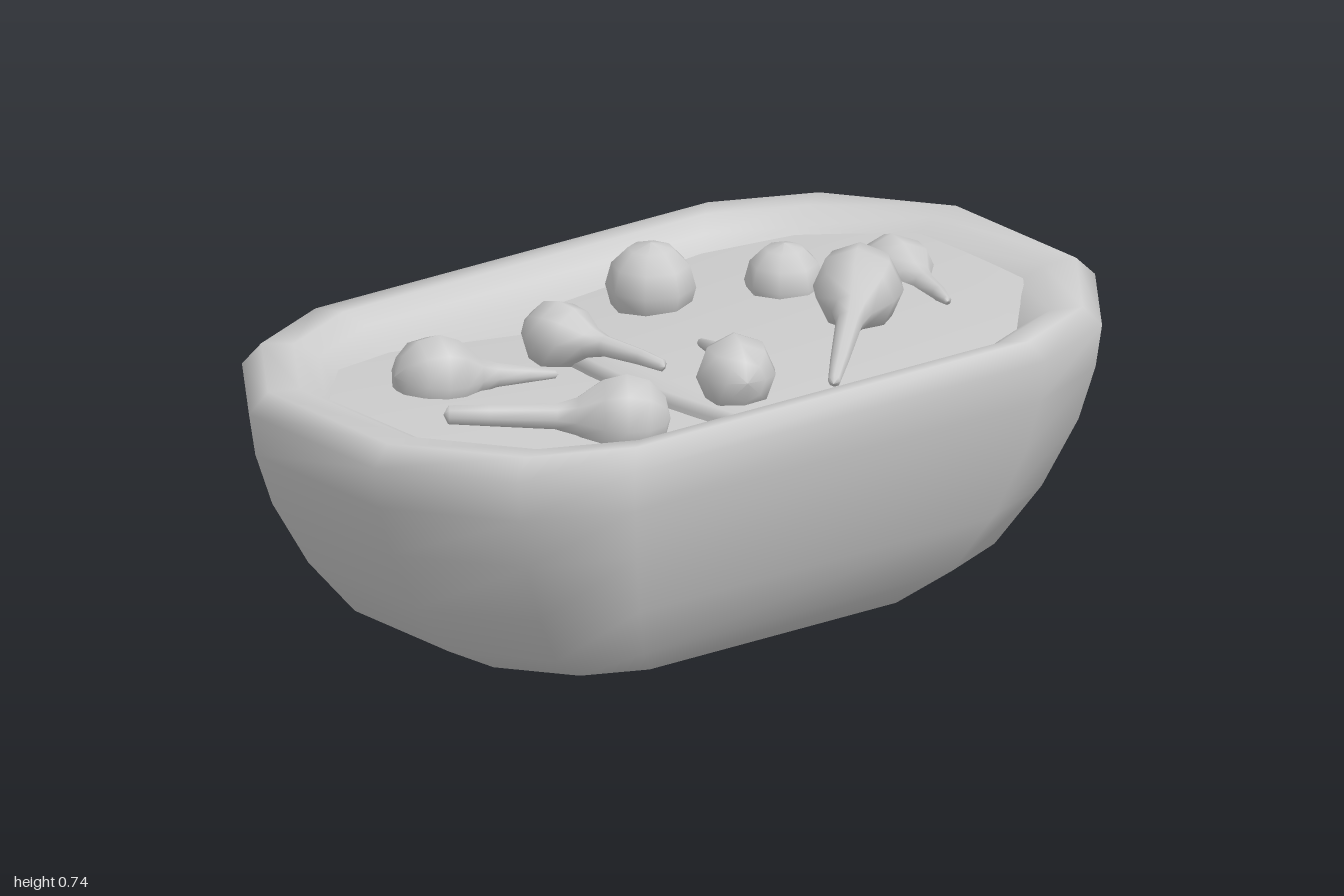
import * as THREE from 'three';

const mat = new THREE.MeshStandardMaterial({ color: 0xcccccc });
const sheetMat = new THREE.MeshStandardMaterial({ color: 0xcccccc, side: THREE.DoubleSide });

// Smooth grid surface; fn(i, j) gives the point, wrap closes the j direction
function gridSurface(rows, cols, wrap, fn) {
  const pos = [], index = [];
  for (let i = 0; i < rows; i++)
    for (let j = 0; j < cols; j++) pos.push(...fn(i, j));
  for (let i = 0; i < rows - 1; i++) {
    for (let j = 0; j < (wrap ? cols : cols - 1); j++) {
      const k = (j + 1) % cols;
      const a = i * cols + j, b = a + cols, c = i * cols + k, d = c + cols;
      index.push(a, b, c, b, d, c);
    }
  }
  const g = new THREE.BufferGeometry();
  g.setAttribute('position', new THREE.Float32BufferAttribute(pos, 3));
  g.setIndex(index);
  g.computeVertexNormals();
  return g;
}

// Twelve-sided outline of the bowl, mirrored from one quarter
const quarter = [[1, 0.22], [0.81, 0.485], [0.57, 0.59]];
const half = [...quarter, ...quarter.map(([x, z]) => [-x, z]).reverse()];
const outline = [...half, ...half.map(([x, z]) => [-x, -z])];

// Half depth of the outline at x, for a given scale
function halfDepth(x, s) {
  const a = Math.min(Math.abs(x) / s, 1);
  if (a < 0.57) return 0.59 * s;
  if (a < 0.81) return s * THREE.MathUtils.mapLinear(a, 0.57, 0.81, 0.59, 0.485);
  return s * THREE.MathUtils.mapLinear(a, 0.81, 1, 0.485, 0.22);
}

// Surface heights of the two fillings
const leftHeight = (x, z) => 0.485 + 0.1 * Math.max(0, -x - 0.06) + 0.02 * (1 - (z / 0.5) ** 2);
const rightHeight = (x, z) => 0.525 + 0.055 * Math.max(0, x) + 0.025 * (1 - (z / 0.5) ** 2);

// Round head with an optional tapering, slightly bent tail
function sprout({ head, r, top, tail, tip = 0.01, bend = 0 }) {
  const start = new THREE.Vector3(head[0], top - r, head[1]);
  const dir = new THREE.Vector3(0, 1, 0);
  const profile = [];
  let length = 0;
  if (tail) {
    const h = tail[0] < -0.1 ? leftHeight(...tail) : rightHeight(...tail);
    dir.set(tail[0], h + 0.02, tail[1]).sub(start);
    length = dir.length();
    dir.normalize();
  }
  const steps = tail ? 4 : 6;
  for (let i = 0; i <= steps; i++) {
    const a = (i / 6) * Math.PI;
    profile.push(new THREE.Vector2(r * Math.sin(a), -r * Math.cos(a)));
  }
  if (tail) {
    profile.push(new THREE.Vector2(r * 0.45, r * 1.05));
    profile.push(new THREE.Vector2(Math.max(r * 0.3, tip), r * 1.5));
    profile.push(new THREE.Vector2((r * 0.28 + tip) / 2, length * 0.75));
    profile.push(new THREE.Vector2(tip, length * 0.97));
    profile.push(new THREE.Vector2(0, length));
  }
  const g = new THREE.LatheGeometry(profile, 8);
  const p = g.attributes.position;
  for (let i = 0; i < p.count; i++) {
    const y = p.getY(i);
    if (y > 0 && tail) p.setX(i, p.getX(i) + bend * 4 * (y / length) * (1 - y / length));
  }
  const side = tail
    ? new THREE.Vector3().crossVectors(dir, new THREE.Vector3(0, 1, 0)).normalize()
    : new THREE.Vector3(1, 0, 0);
  const basis = new THREE.Matrix4().makeBasis(side, dir, new THREE.Vector3().crossVectors(side, dir));
  g.applyMatrix4(basis);
  g.translate(start.x, start.y, start.z);
  return g;
}

export function createModel() {
  const model = new THREE.Group();
  const add = (name, geometry, material = mat) => {
    const mesh = new THREE.Mesh(geometry, material);
    mesh.name = name;
    model.add(mesh);
  };

  // Bowl: [scale, height] from the base, over the rim and down inside
  const profile = [
    [0, 0], [0.6, 0], [0.75, 0.08], [0.86, 0.21], [0.945, 0.36], [0.985, 0.48], [1, 0.575],
    [0.955, 0.62], [0.88, 0.615], [0.82, 0.585], [0.775, 0.55], [0.72, 0.48], [0.6, 0.3], [0, 0.2],
  ];
  add('bowl', gridSurface(profile.length, 12, true, (i, j) => {
    const [s, y] = profile[i];
    return [outline[j][0] * s, y, outline[j][1] * s];
  }));

  // Left filling, sloping down to the middle
  add('leftFilling', gridSurface(13, 15, false, (i, j) => {
    const x = -0.83 + (0.88 * j) / 14;
    const z = (i / 6 - 1) * halfDepth(x, 0.83);
    return [x, leftHeight(x, z), z];
  }), sheetMat);

  // Right filling, overlapping the left one with a curved rounded edge
  const ts = [0, 0.002, 0.02, 0.06, 0.15, 0.3, 0.45, 0.6, 0.7, 0.8, 0.9, 1];
  const drops = [0.14, 0.025, 0.008];
  add('rightFilling', gridSurface(13, ts.length, false, (i, j) => {
    const u = i / 6 - 1;
    const edge = -0.17 + 0.13 * u * u;
    const x = edge + (0.83 - edge) * ts[j];
    const z = u * halfDepth(x, 0.83);
    return [x, rightHeight(x, z) - (drops[j] ?? 0), z];
  }), sheetMat);

  // Sprouts and loose round pieces
  [
    { head: [-0.54, -0.15], r: 0.095, top: 0.675, tail: [-0.26, -0.07] },
    { head: [-0.36, 0.29], r: 0.1, top: 0.67, tail: [-0.69, 0.07], tip: 0.022 },
    { head: [-0.16, -0.2], r: 0.08, top: 0.655, tail: [-0.09, 0.09], tip: 0.014, bend: -0.015 },
    { head: [-0.03, 0.26], r: 0.09, top: 0.68, tail: [0.06, 0.02], bend: 0.02 },
    { head: [0.43, 0.11], r: 0.1, top: 0.74, tail: [0.14, 0.39], tip: 0.014 },
    { head: [0.67, -0.07], r: 0.088, top: 0.658, tail: [0.6, 0.21], bend: -0.015 },
  ].forEach((s, i) => add(`sprout${i + 1}`, sprout(s)));
  add('roundPiece1', sprout({ head: [0.17, -0.29], r: 0.1, top: 0.69 }));
  add('roundPiece2', sprout({ head: [0.43, -0.15], r: 0.088, top: 0.67 }));

  return model;
}
